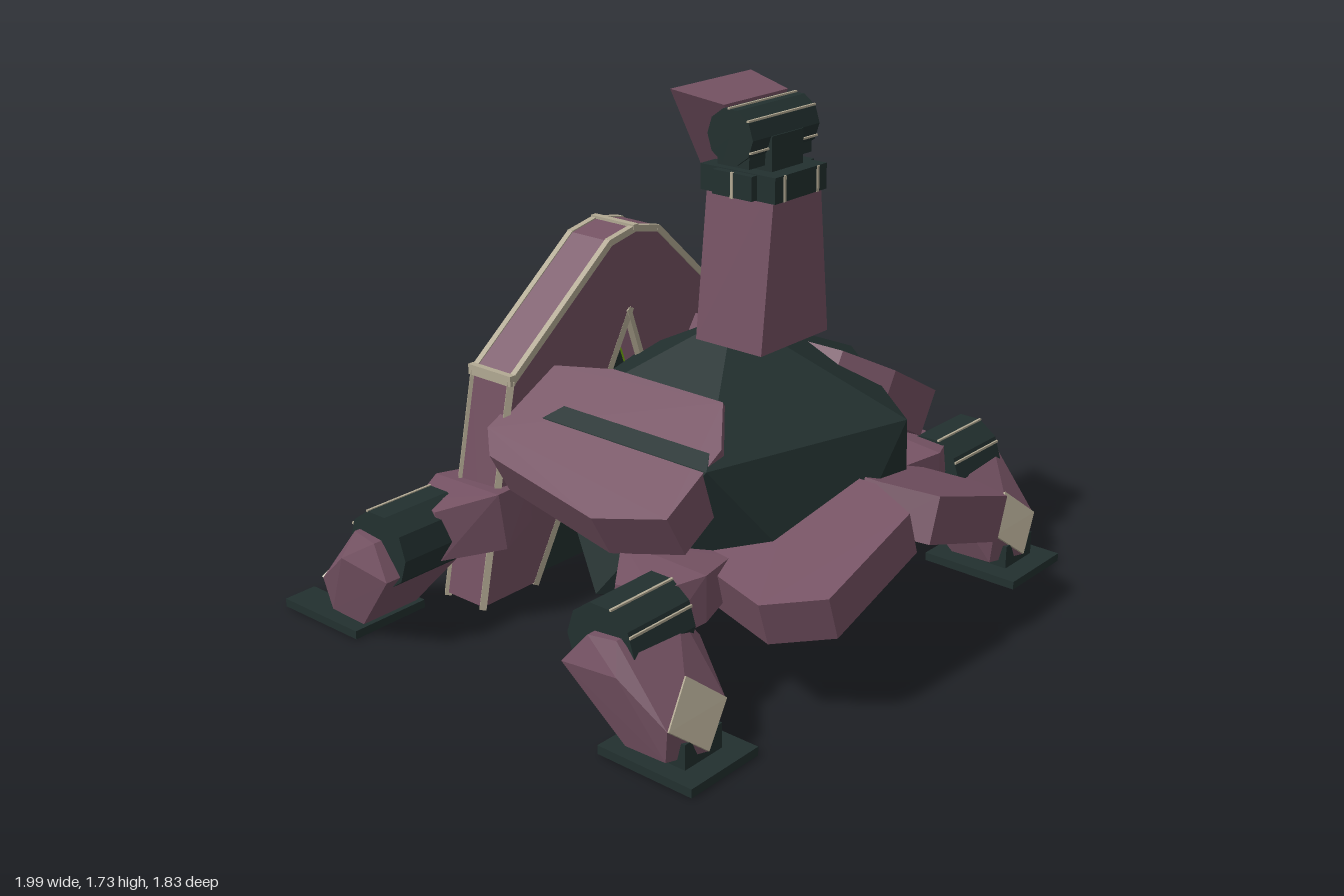
import * as THREE from 'three';
import { ConvexGeometry } from 'three/addons/geometries/ConvexGeometry.js';

const paint = (name, hex) => {
  const m = new THREE.MeshStandardMaterial({ color: hex });
  m.name = name;
  return m;
};

export function createModel() {
  const mauve = paint('mauve armour', 0x755263);
  const dark = paint('dark metal', 0x22302f);
  const cream = paint('cream trim', 0xb2a993);
  const green = paint('green glow', 0x78b010);

  const model = new THREE.Group();
  model.name = 'walker';
  const add = (name, geometry, material) => {
    const mesh = new THREE.Mesh(geometry, material);
    mesh.name = name;
    model.add(mesh);
    return mesh;
  };
  const V = (p) => new THREE.Vector3(...p);

  // Faceted solid around points, mirrored by sx and sz
  const hull = (name, pts, material, sx = 1, sz = 1) =>
    add(name, new ConvexGeometry(pts.map(([x, y, z]) => new THREE.Vector3(x * sx, y, z * sz))), material);
  const box = (name, [w, h, d], [x, y, z], material) =>
    add(name, new THREE.BoxGeometry(w, h, d), material).position.set(x, y, z);
  // Square bar from a to b
  const bar = (name, a, b, w, material, h = w) => {
    const mesh = add(name, new THREE.BoxGeometry(w, h, V(a).distanceTo(V(b)) + 0.008), material);
    mesh.position.copy(V(a)).lerp(V(b), 0.5);
    mesh.lookAt(V(b));
  };
  const barrel = (name, r, length, [x, y, z], sides) => {
    const g = new THREE.CylinderGeometry(r, r, length, sides).toNonIndexed();
    g.computeVertexNormals();
    g.rotateZ(Math.PI / 2);
    add(name, g, dark).position.set(x, y, z);
  };

  // Body: stretched twenty-sided solid
  const body = [[0, 1, 0.17], [0, 0, 0.17]];
  for (let i = 0; i < 10; i++) {
    const a = (i * Math.PI) / 5;
    body.push([0.64 * Math.cos(a), i % 2 ? 0.276 : 0.724, 0.17 + 0.56 * Math.sin(a)]);
  }
  hull('body', body, dark);

  // Sloping plates: outline in x and z, sloped in y, thickened along the normal
  const plate = (name, outline, y0, slope, t, sx) => {
    const n = Math.hypot(1, slope);
    const pts = [];
    for (const [x, z] of outline) {
      const y = y0 - slope * x;
      pts.push([x, y, z], [x - (t * slope) / n, y - t / n, z]);
    }
    hull(name, pts, mauve, sx);
  };
  const sideOutline = [[0.75, 0.26], [0.68, 0.49], [0.44, 0.49], [0.3, 0.38],
    [0.3, -0.06], [0.35, -0.3], [0.6, -0.32], [0.68, -0.23]];
  const frontOutline = [[0.01, 0.74], [0.08, 0.91], [0.47, 0.91], [0.575, 0.74], [0.51, 0.47], [0.01, 0.47]];

  // Tall rear wings lean backward going down
  const frontZ = (y) => -0.35 + (y - 0.05) * 0.097;
  const wingEdge = [[0, 1.21], [0.12, 1.185], [0.535, 0.82], [0.62, 0.05]];
  const opening = [[0, 0.93], [0.385, 0.05]];

  for (const s of [-1, 1]) {
    plate('sidePlate', sideOutline, 1.017, 0.57, 0.16, s);
    plate('frontPlate', frontOutline, 0.592, 0.33, 0.15, s);

    const slab = [];
    for (const [x, y] of [...wingEdge, ...opening]) slab.push([x, y, frontZ(y)], [x, y, frontZ(y) - 0.18]);
    hull('rearWing', slab, mauve, s);
    for (const depth of [0.008, 0.172]) {
      const at = ([x, y]) => [s * (x - 0.006), y - 0.006, frontZ(y) - depth];
      for (let i = 0; i < 3; i++) bar('wingEdgeTrim', at(wingEdge[i]), at(wingEdge[i + 1]), 0.022, cream);
      bar('openingEdgeTrim', at(opening[0]), at(opening[1]), 0.022, cream);
    }
    // Bands across the shoulder corner and raised frame round the opening
    bar('shoulderBand', [s * 0.532, 0.82, frontZ(0.82)], [s * 0.532, 0.82, frontZ(0.82) - 0.18], 0.022, cream, 0.034);
    bar('openingFrame', [s * 0.005, 0.945, frontZ(0.945) - 0.195], [s * 0.385, 0.06, frontZ(0.06) - 0.205], 0.035, cream);
    bar('panelGlow', [s * 0.01, 0.87, -0.375], [s * 0.362, 0.05, -0.44], 0.014, green, 0.05);
  }
  bar('ridgeBand', [0, 1.205, frontZ(1.21)], [0, 1.205, frontZ(1.21) - 0.18], 0.024, cream);

  // Dark panel inside the rear opening
  hull('rearPanel', [[0, 0.89, -0.36], [0, 0.89, -0.39], [0.37, 0.03, -0.42], [0.37, 0.03, -0.46],
    [-0.37, 0.03, -0.42], [-0.37, 0.03, -0.46]], dark);

  // Legs: arm, shoulder barrel, tapered shin with pointed cap, ankle and split foot
  for (const sx of [-1, 1]) for (const sz of [-1, 1]) {
    hull('upperArm', [
      [0.44, 0.31, 0.3], [0.44, 0.45, 0.3], [0.44, 0.44, 0.53], [0.44, 0.32, 0.53],
      [0.6, 0.28, 0.25], [0.62, 0.47, 0.26], [0.6, 0.45, 0.57], [0.6, 0.3, 0.57],
      [0.78, 0.27, 0.36], [0.78, 0.43, 0.38], [0.75, 0.43, 0.5], [0.75, 0.27, 0.52]], mauve, sx, sz);
    barrel('shoulderBarrel', 0.128, 0.26, [sx * 0.81, 0.33, sz * 0.47], 10);
    box('barrelLine', [0.262, 0.006, 0.008], [sx * 0.81, 0.452, sz * 0.51], cream);
    box('barrelLine', [0.262, 0.008, 0.006], [sx * 0.81, 0.39, sz * 0.582], cream);

    const cap = [[0.83, 0.265, 0.685], [0.955, 0.16, 0.73], [0.83, 0.06, 0.77], [0.705, 0.16, 0.73]];
    hull('shin', [...cap,
      [0.64, 0.28, 0.58], [0.7, 0.37, 0.55], [0.96, 0.38, 0.55], [0.995, 0.29, 0.58],
      [0.66, 0.27, 0.37], [0.7, 0.37, 0.45], [0.97, 0.37, 0.45], [0.995, 0.27, 0.37],
      [0.72, 0.045, 0.56], [0.94, 0.045, 0.56], [0.72, 0.05, 0.71], [0.94, 0.05, 0.71]], mauve, sx, sz);
    // Cream diamond on the shin tip
    hull('shinCap', [...cap.map(([x, y, z]) => [x, y + 0.003, z + 0.006]), ...cap], cream, sx, sz);
    box('ankle', [0.16, 0.09, 0.17], [sx * 0.83, 0.065, sz * 0.67], dark);

    const fz = sz > 0 ? 0.655 : -0.74;
    box('footPlate', [0.29, 0.028, 0.19], [sx * 0.825, 0.016, fz + 0.08], dark);
    for (const t of [-1, 1]) box('toe', [0.118, 0.028, 0.17], [sx * 0.825 + t * 0.086, 0.016, fz - 0.09], dark);
  }

  // Neck tapers in width only
  const neck = [];
  for (const [x, y] of [[0.165, 0.96], [0.108, 1.5]])
    for (const s of [-1, 1]) neck.push([s * x, y, 0.16], [s * x, y, 0.415]);
  hull('neck', neck, mauve);

  // Collar blocks and head mount
  box('collar', [0.25, 0.08, 0.285], [0, 1.463, 0.285], dark);
  box('collarSides', [0.3, 0.075, 0.15], [0, 1.463, 0.285], dark);
  for (const s of [-1, 1]) {
    box('collarLine', [0.01, 0.08, 0.006], [s * 0.08, 1.463, 0.428], cream);
    box('collarLine', [0.006, 0.08, 0.01], [s * 0.15, 1.463, 0.285], cream);
  }
  box('headMount', [0.15, 0.12, 0.15], [0, 1.55, 0.3], dark);
  box('headBase', [0.3, 0.06, 0.12], [0, 1.55, 0.29], dark);
  barrel('headBarrel', 0.086, 0.32, [0, 1.61, 0.285], 10);
  box('headLine', [0.322, 0.006, 0.008], [0, 1.665, 0.352], cream);
  box('headLine', [0.322, 0.006, 0.008], [0, 1.572, 0.362], cream);
  box('headLine', [0.322, 0.006, 0.008], [0, 1.694, 0.28], cream);

  // Wedge head flaring to a triangular back with nested plates
  const tri = (k, z, cy = 1.615) => [[-0.19 * k, cy + 0.115 * k, z], [0.19 * k, cy + 0.115 * k, z], [0, cy - 0.225 * k, z]];
  hull('head', [...tri(1, 0.08), ...tri(0.8, 0.255, 1.608)], mauve);
  hull('headBackPlate', [...tri(0.72, 0.081), ...tri(0.72, 0.074)], dark);
  hull('headBackLens', [...tri(0.48, 0.076), ...tri(0.48, 0.068)], cream);

  return model;
}
